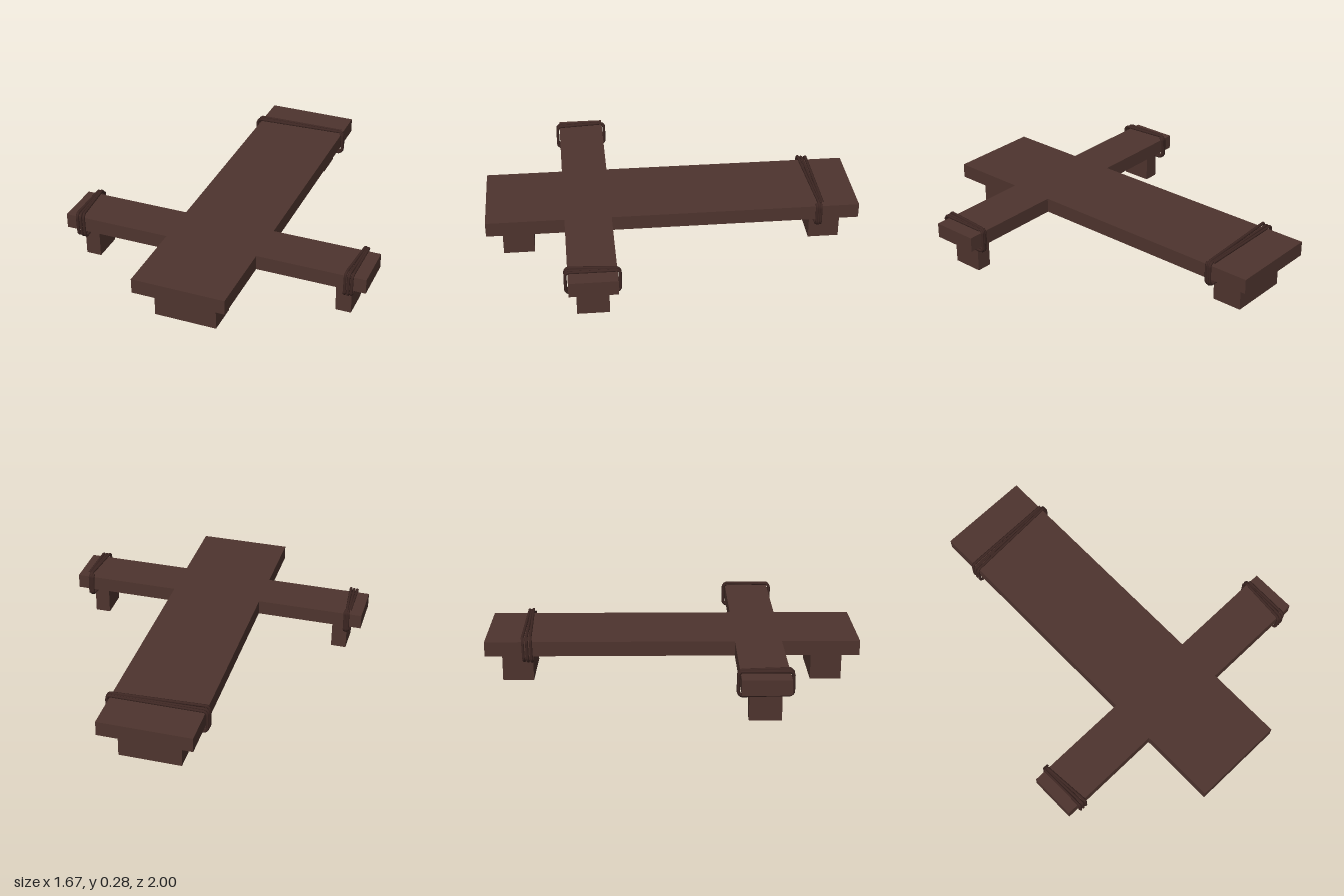
import * as THREE from 'three';

const wood = new THREE.MeshStandardMaterial({ color: 0x4e342e, side: THREE.DoubleSide });
wood.name = 'brown wood';
const cord = new THREE.MeshStandardMaterial({ color: 0x3e2723 });
cord.name = 'dark cord';

const BOTTOM = 0.167, TOP = 0.247; // plank underside and upper face

function box(name, x0, x1, y0, y1, z0, z1, open = false) {
  const g = new THREE.BoxGeometry(x1 - x0, y1 - y0, z1 - z0);
  if (open) { // keep only the four side walls
    const i = Array.from(g.index.array);
    g.setIndex([...i.slice(0, 12), ...i.slice(24, 36)]);
    g.clearGroups();
  }
  const m = new THREE.Mesh(g, wood);
  m.name = name;
  m.position.set((x0 + x1) / 2, (y0 + y1) / 2, (z0 + z1) / 2);
  return m;
}

// Three loose turns round a plank; place(u, y, s) maps across, up and along it.
// The turns lie close together at +u and fan out at -u.
function binding(name, halfWidth, place) {
  const pts = [], turns = 3, h = 0.065, c = 0.014;
  const w = halfWidth;
  const ring = [[w - c, h], [c - w, h], [-w, h - c], [-w, c - h], [c - w, -h], [w - c, -h], [w, c - h], [w, h - c]];
  for (let k = 0; k <= turns * 8; k++) {
    const [u, v] = ring[k % 8];
    const f = k / (turns * 8);
    const s = f * (u > 0 ? 0.032 : 0.064);
    const loose = 1 - 0.05 * Math.sin(k / 8 * 2.4); // turns differ a little in size
    pts.push(place(u, 0.203 + v * loose, s));
  }
  const path = new THREE.CurvePath();
  for (let k = 1; k < pts.length; k++) path.add(new THREE.LineCurve3(pts[k - 1], pts[k]));
  const curve = new THREE.CatmullRomCurve3(path.getSpacedPoints(240));
  const m = new THREE.Mesh(new THREE.TubeGeometry(curve, 300, 0.008, 6), cord);
  m.name = name;
  return m;
}

export function createModel() {
  const model = new THREE.Group();
  model.name = 'crossShapedBench';

  // Long plank with a wide foot near each end
  model.add(box('plank', -0.25, 0.25, BOTTOM, TOP, -1, 1));
  model.add(box('frontFoot', -0.167, 0.167, 0, BOTTOM, 0.75, 0.917, true));
  model.add(box('backFoot', -0.167, 0.167, 0, BOTTOM, -0.917, -0.75, true));
  model.add(binding('backBinding', 0.264, (u, y, s) => new THREE.Vector3(u, y, -0.8 + s)));

  // Arms, each with a narrow foot and a binding
  for (const side of [1, -1]) {
    const label = side > 0 ? 'left' : 'right';
    const span = (a, b) => side > 0 ? [a, b] : [-b, -a];
    model.add(box(label + 'Arm', ...span(0.25, 0.833), BOTTOM, TOP, 0.333, 0.583));
    model.add(box(label + 'Foot', ...span(0.667, 0.75), 0, BOTTOM, 0.377, 0.543, true));
    model.add(binding(label + 'Binding', 0.137,
      (u, y, s) => new THREE.Vector3(side * (0.768 - s * 0.85), y, 0.458 - u)));
  }
  return model;
}
